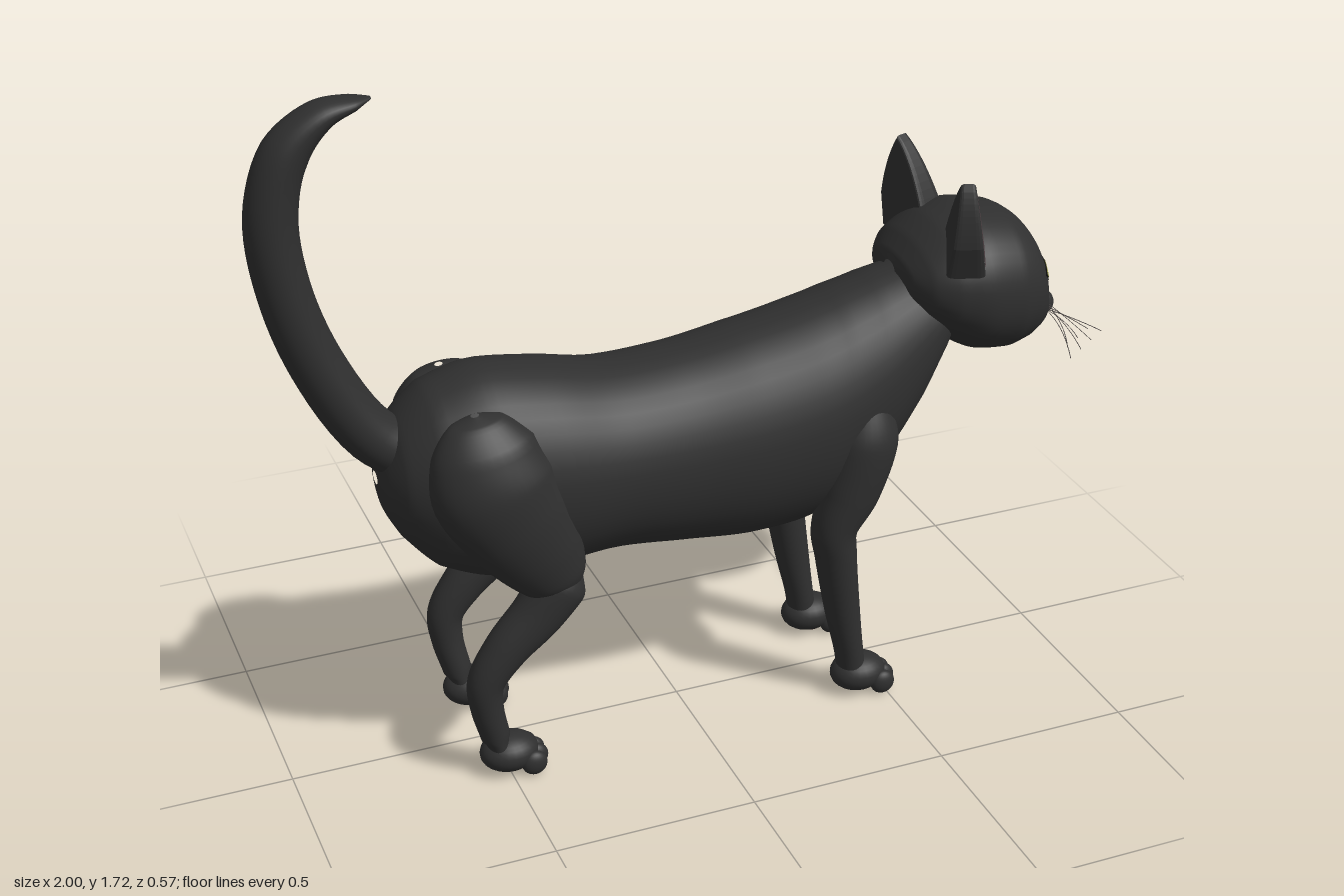
import * as THREE from 'three';

const mat = (name, color, side = THREE.FrontSide) => {
  const m = new THREE.MeshStandardMaterial({ color, side });
  m.name = name;
  return m;
};
const fur = mat('black fur', 0x2f2f2f);
const pink = mat('inner ear pink', 0x7d686c, THREE.DoubleSide);
const iris = mat('eye yellow green', 0x98964f, THREE.DoubleSide);
const dark = mat('pupil black', 0x0c0c0c, THREE.DoubleSide);
const noseMat = mat('nose charcoal', 0x1c1a1a);
const lip = mat('lip brown', 0x40282a);
const whiskerMat = mat('whisker grey', 0x55504e);

// Smooth loft through sections [x, y, z, in-plane radius, z radius].
// With alongX the rings stay upright, otherwise they follow the path.
function loft(sections, { alongX = false, steps = 6, sides = 32, power = 1 } = {}) {
  const path = new THREE.CatmullRomCurve3(sections.map(s => new THREE.Vector3(s[0], s[1], s[2])));
  const radii = new THREE.CatmullRomCurve3(sections.map(s => new THREE.Vector3(s[3], s[4], 0)));
  const n = (sections.length - 1) * steps, pos = [], idx = [];
  const bulge = v => Math.sign(v) * Math.abs(v) ** power;
  for (let i = 0; i <= n; i++) {
    const c = path.getPoint(i / n), r = radii.getPoint(i / n);
    const t = alongX ? new THREE.Vector3(1, 0, 0) : path.getTangent(i / n).setZ(0).normalize();
    const ra = Math.max(r.x, 0.001), rb = Math.max(r.y, 0.001);
    for (let j = 0; j < sides; j++) {
      const a = j / sides * Math.PI * 2, u = bulge(Math.cos(a)) * ra;
      pos.push(c.x - t.y * u, c.y + t.x * u, c.z + bulge(Math.sin(a)) * rb);
    }
  }
  for (let i = 0; i < n; i++) for (let j = 0; j < sides; j++) {
    const k = (j + 1) % sides, a = i * sides + j, b = i * sides + k;
    idx.push(a, b, a + sides, b, b + sides, a + sides);
  }
  const g = new THREE.BufferGeometry();
  g.setAttribute('position', new THREE.Float32BufferAttribute(pos, 3));
  g.setIndex(idx);
  g.computeVertexNormals();
  return g;
}

// Sections from [x, top, bottom, half width]
const profile = rows => rows.map(([x, t, b, w]) => [x, (t + b) / 2, 0, (t - b) / 2, w]);

export function createModel() {
  const cat = new THREE.Group();
  cat.name = 'cat';
  const add = (name, geo, material = fur, parent = cat) => {
    const m = new THREE.Mesh(geo, material);
    m.name = name;
    parent.add(m);
    return m;
  };
  const ball = (name, p, r, material = fur, parent = cat) => {
    const m = add(name, new THREE.SphereGeometry(1, 24, 16), material, parent);
    m.position.set(...p);
    m.scale.set(...r);
    return m;
  };

  // Torso and neck
  add('body', loft(profile([
    [-0.748, 0.80, 0.77, 0.02], [-0.735, 0.86, 0.70, 0.08], [-0.70, 0.93, 0.63, 0.135],
    [-0.62, 1.0, 0.54, 0.185], [-0.48, 1.03, 0.487, 0.215], [-0.34, 1.01, 0.492, 0.22],
    [-0.18, 0.98, 0.503, 0.213], [0, 0.988, 0.482, 0.213], [0.15, 1.012, 0.466, 0.22],
    [0.3, 1.04, 0.475, 0.22], [0.4, 1.065, 0.51, 0.21], [0.5, 1.09, 0.59, 0.19],
    [0.6, 1.11, 0.73, 0.16], [0.66, 1.11, 0.86, 0.14], [0.7, 1.08, 0.94, 0.1]
  ]), { alongX: true, sides: 40 }));

  // Upright curling tail
  add('tail', loft([
    [-0.64, 0.82, 0, 0.07, 0.075], [-0.75, 0.90, 0, 0.066, 0.07], [-0.865, 1.1, 0, 0.063, 0.064],
    [-0.927, 1.3, 0, 0.061, 0.062], [-0.94, 1.47, 0, 0.06, 0.06], [-0.90, 1.605, 0, 0.054, 0.057],
    [-0.82, 1.68, 0, 0.034, 0.05], [-0.745, 1.70, 0, 0.016, 0.036], [-0.705, 1.706, 0, 0.003, 0.008]
  ]));

  // Legs and paws, mirrored
  for (const s of [1, -1]) {
    const side = s > 0 ? 'near' : 'far';
    const limb = (name, rows) => add(side + name, loft(rows.map(([x, y, z, a, b]) => [x, y, s * z, a, b])));
    limb('Thigh', [
      [-0.545, 0.975, 0.14, 0.01, 0.01], [-0.543, 0.96, 0.145, 0.065, 0.04], [-0.535, 0.9, 0.155, 0.122, 0.08],
      [-0.515, 0.8, 0.165, 0.148, 0.1], [-0.465, 0.7, 0.165, 0.138, 0.096], [-0.41, 0.6, 0.165, 0.112, 0.08],
      [-0.375, 0.53, 0.165, 0.083, 0.062], [-0.36, 0.49, 0.165, 0.05, 0.04]
    ]);
    limb('HindShank', [
      [-0.33, 0.55, 0.165, 0.03, 0.03], [-0.365, 0.505, 0.165, 0.072, 0.06], [-0.42, 0.435, 0.165, 0.066, 0.055],
      [-0.5, 0.355, 0.165, 0.055, 0.049], [-0.552, 0.275, 0.165, 0.046, 0.043], [-0.552, 0.2, 0.162, 0.04, 0.04],
      [-0.532, 0.11, 0.155, 0.036, 0.04], [-0.52, 0.05, 0.152, 0.036, 0.04]
    ]);
    limb('Foreleg', [
      [0.435, 0.86, 0.15, 0.01, 0.01], [0.433, 0.83, 0.155, 0.05, 0.04], [0.425, 0.73, 0.168, 0.083, 0.068],
      [0.39, 0.6, 0.168, 0.076, 0.064], [0.352, 0.5, 0.163, 0.058, 0.058], [0.36, 0.42, 0.16, 0.052, 0.055],
      [0.386, 0.25, 0.155, 0.044, 0.047], [0.41, 0.12, 0.152, 0.036, 0.042], [0.42, 0.05, 0.152, 0.036, 0.04]
    ]);
    for (const [name, x] of [['ForePaw', 0.437], ['HindPaw', -0.498]]) {
      const paw = new THREE.Group();
      paw.name = side + name;
      paw.position.set(x, 0, s * 0.152);
      cat.add(paw);
      ball('foot', [0, 0.055, 0], [0.073, 0.048, 0.06], fur, paw);
      for (let i = 0; i < 4; i++) {
        const q = i - 1.5;
        ball('toe', [0.068 - Math.abs(q) * 0.012, 0.034, q * 0.029], [0.032, 0.032, 0.02], fur, paw);
      }
      ball('pad', [0.005, 0.014, 0], [0.035, 0.011, 0.03], lip, paw);
    }
  }

  // Head
  const head = add('head', loft(profile([
    [0.556, 1.115, 1.065, 0.03], [0.565, 1.135, 1.035, 0.11], [0.6, 1.175, 0.985, 0.165],
    [0.66, 1.215, 0.925, 0.197], [0.75, 1.236, 0.872, 0.21], [0.83, 1.222, 0.86, 0.2],
    [0.885, 1.19, 0.87, 0.177], [0.92, 1.14, 0.882, 0.145], [0.945, 1.06, 0.895, 0.11],
    [0.97, 1.0, 0.912, 0.07], [0.982, 0.975, 0.93, 0.03]
  ]), { alongX: true, sides: 48, power: 0.92 }));
  head.updateMatrixWorld(true);

  // Lays a thin disc-like patch on the face; halfHeight(u) rules its outline
  const ray = new THREE.Raycaster();
  const patch = (name, cy, cz, w, halfHeight, tilt, lift, material) => {
    const g = new THREE.PlaneGeometry(2, 2, 20, 6), p = g.attributes.position;
    for (let i = 0; i < p.count; i++) {
      const u = p.getX(i), z = cz - u * w;
      const y = cy + p.getY(i) * halfHeight(u) + (z - cz) * tilt;
      ray.set(new THREE.Vector3(2, y, z), new THREE.Vector3(-1, 0, 0));
      const hit = ray.intersectObject(head)[0];
      p.setXYZ(i, (hit ? hit.point.x : 0.9) + lift, y, z);
    }
    g.computeVertexNormals();
    return add(name, g, material);
  };
  const almond = h => u => h * Math.max(1 - u * u, 0);
  const round = h => u => h * Math.sqrt(Math.max(1 - u * u, 0));

  for (const s of [1, -1]) {
    // Eyes
    patch('eyeRim', 1.072, s * 0.095, 0.06, almond(0.031), s * 0.15, 0.002, dark);
    patch('iris', 1.072, s * 0.095, 0.052, almond(0.024), s * 0.15, 0.004, iris);
    patch('pupil', 1.072, s * 0.093, 0.009, round(0.021), 0, 0.006, dark);

    // Muzzle pad and mouth line
    ball('muzzle', [0.952, 0.952, s * 0.034], [0.045, 0.036, 0.043]);
    add('mouth', new THREE.TubeGeometry(new THREE.CatmullRomCurve3([
      new THREE.Vector3(0.992, 0.945, 0), new THREE.Vector3(0.987, 0.93, s * 0.025),
      new THREE.Vector3(0.965, 0.922, s * 0.055), new THREE.Vector3(0.94, 0.93, s * 0.085)
    ]), 12, 0.003, 6), lip);

    // Whiskers
    for (let i = 0; i < 7; i++) {
      const k = i / 6;
      add('whisker', new THREE.TubeGeometry(new THREE.QuadraticBezierCurve3(
        new THREE.Vector3(0.965, 0.94 + 0.02 * (i % 3) / 2, s * 0.06),
        new THREE.Vector3(0.975 - k * 0.02, 0.965 - k * 0.02, s * 0.17),
        new THREE.Vector3(0.99 - k * 0.08, 0.975 - k * 0.06, s * (0.285 - 0.04 * (i % 2)))
      ), 8, 0.001, 4), whiskerMat);
    }

    // Ears: hollow-fronted triangles turned a little outwards
    const ear = new THREE.Group();
    ear.name = s > 0 ? 'nearEar' : 'farEar';
    ear.position.set(0.69, 1.13, s * 0.148);
    ear.rotation.y = -s * 0.35;
    cat.add(ear);
    const outline = k => {
      const P = (z, y) => [-s * z * k, 0.1 + (y - 0.1) * k];
      const o = new THREE.Shape();
      o.moveTo(...P(-0.072, 0.07));
      o.quadraticCurveTo(...P(-0.025, 0.18), ...P(0.032, 0.23));
      o.quadraticCurveTo(...P(0.062, 0.17), ...P(0.064, 0.08));
      o.lineTo(...P(0.045, 0.0));
      o.lineTo(...P(-0.05, 0.0));
      o.closePath();
      return o;
    };
    const shell = new THREE.ExtrudeGeometry(outline(0.96), {
      depth: 0.02, bevelEnabled: true, bevelSize: 0.006, bevelThickness: 0.008, bevelSegments: 3, curveSegments: 10
    });
    const inner = new THREE.ShapeGeometry(outline(0.8), 10);
    inner.translate(0, 0, 0.0295);
    for (const g of [shell, inner]) {
      g.rotateY(Math.PI / 2);
      // The base spreads forwards and back while the tip stays upright
      const p = g.attributes.position;
      for (let i = 0; i < p.count; i++) {
        const f = Math.max(0, 1 - p.getY(i) / 0.23);
        p.setX(i, (p.getX(i) - 0.014) * (1 + f * 1.6) - 0.012 + f * 0.012);
      }
      g.computeVertexNormals();
    }
    add('earShell', shell, fur, ear);
    add('earInside', inner, pink, ear);
  }

  // Nose and chin
  ball('nose', [0.982, 0.972, 0], [0.018, 0.014, 0.024], noseMat);
  ball('chin', [0.945, 0.915, 0], [0.035, 0.026, 0.045]);
  return cat;
}
